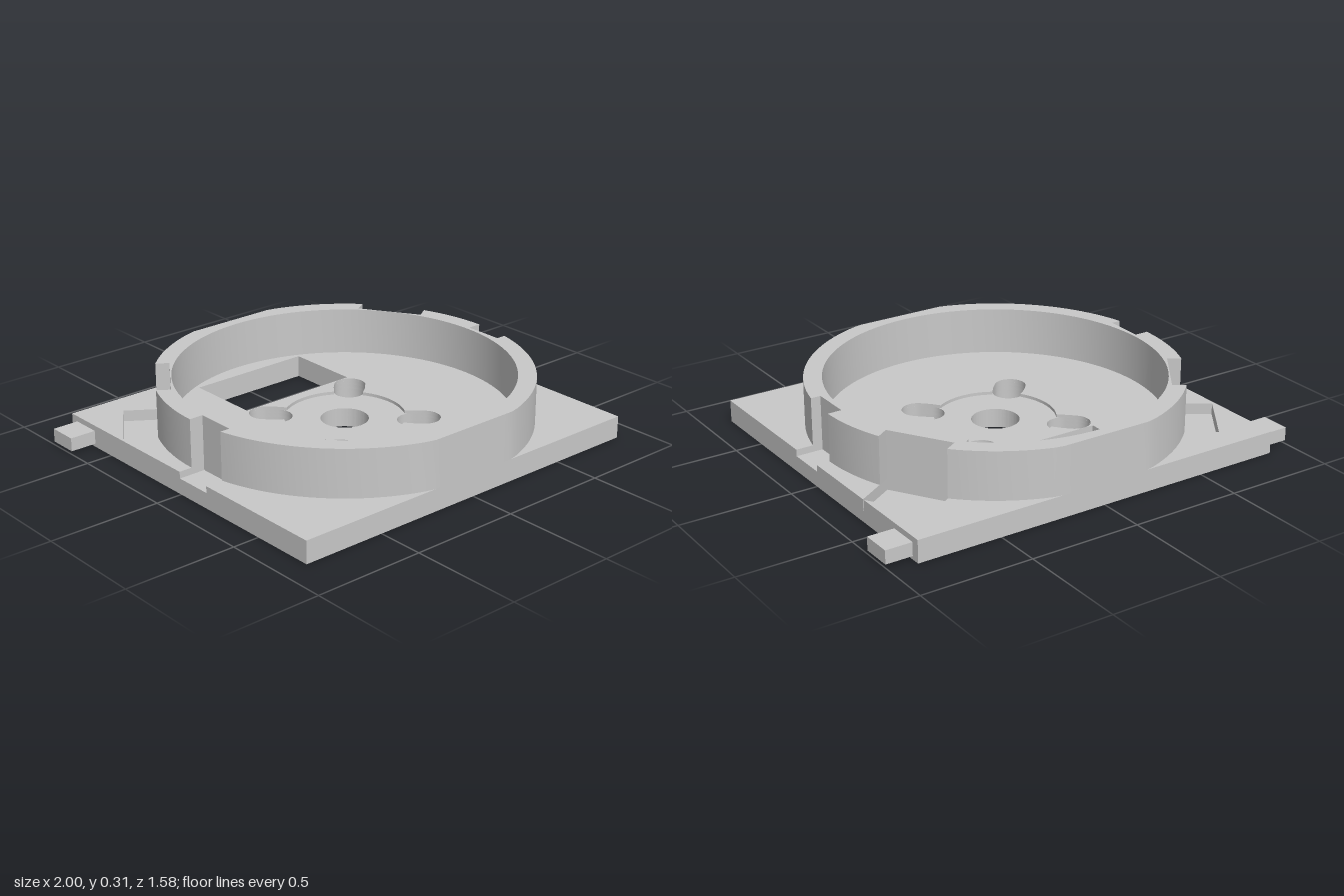
import * as THREE from 'three';
import { toCreasedNormals } from 'three/addons/utils/BufferGeometryUtils.js';

const HALF_X = 0.88, HALF_Z = 0.79;
const RING_OUT = 0.82, RING_IN = 0.74, NOTCH_X = 0.757;
const SLOT_R = 0.07, SLOT_NEAR = 0.297, SLOT_FAR = 0.346;

// angled pockets at the back, as [x, z] from the front side round to the back
const RIGHT_POCKET = [[0.88, -0.381], [0.706, -0.273], [0.545, -0.526], [0.72, -0.636], [0.88, -0.387]];
const LEFT_POCKET = [[-0.695, -0.668], [-0.524, -0.551], [-0.695, -0.305], [-0.866, -0.42]];

// ground points to shape points, wound clockwise or counter-clockwise
function toVectors(pts, clockwise) {
  const v = pts.map(([x, z]) => new THREE.Vector2(x, -z));
  return THREE.ShapeUtils.isClockWise(v) === clockwise ? v : v.reverse();
}

// arc in the ground plane, angles in degrees, z kept within the plate
function arc(r, from, to, cx = 0, cz = 0, steps = Math.ceil(Math.abs(to - from) / 3)) {
  const pts = [];
  for (let i = 0; i <= steps; i++) {
    const a = THREE.MathUtils.degToRad(from + ((to - from) * i) / steps);
    const z = cz + r * Math.sin(a);
    pts.push([cx + r * Math.cos(a), THREE.MathUtils.clamp(z, -HALF_Z, HALF_Z)]);
  }
  return pts;
}

const circle = (r) => arc(r, 0, 360, 0, 0, 128).slice(0, -1);

// rounded slot lying on a diagonal
function slot(angle) {
  const a = THREE.MathUtils.degToRad(angle), c = Math.cos(a), s = Math.sin(a);
  return [
    ...arc(SLOT_R, angle - 90, angle + 90, SLOT_FAR * c, SLOT_FAR * s, 18),
    ...arc(SLOT_R, angle + 90, angle + 270, SLOT_NEAR * c, SLOT_NEAR * s, 18),
  ];
}

// round centre recess merged with the four slots
function recessOutline() {
  const pts = [], n = 360;
  for (let i = 0; i < n; i++) {
    const a = (i / n) * Math.PI * 2;
    let r = 0.265;
    for (let k = 0; k < 4; k++) {
      const off = a - Math.PI / 4 - (k * Math.PI) / 2;
      if (Math.cos(off) < 0) continue;
      for (let j = 0; j <= 6; j++) {
        const d = SLOT_NEAR + ((SLOT_FAR - SLOT_NEAR) * j) / 6;
        const h = SLOT_R ** 2 - (d * Math.sin(off)) ** 2;
        if (h > 0) r = Math.max(r, d * Math.cos(off) + Math.sqrt(h));
      }
    }
    pts.push([r * Math.cos(a), r * Math.sin(a)]);
  }
  return pts;
}

// plate outline, with optional side notches and the right pocket cut in
function plateOutline(pocket, notches) {
  const notch = (s) => [[s * HALF_X, 0.172], [s * NOTCH_X, 0.172], [s * NOTCH_X, -0.005], [s * HALF_X, -0.005]];
  return [
    [-HALF_X, HALF_Z], [HALF_X, HALF_Z],
    ...(notches ? notch(1) : []),
    ...(pocket ? RIGHT_POCKET : []),
    [HALF_X, -HALF_Z], [-HALF_X, -HALF_Z],
    ...(notches ? notch(-1).reverse() : []),
  ];
}

export function createModel() {
  const group = new THREE.Group();
  const grey = new THREE.MeshStandardMaterial({ color: 0xc8c8c8 });
  grey.name = 'grey';

  function slab(name, outline, holes, y0, y1) {
    const shape = new THREE.Shape(toVectors(outline, false));
    shape.holes = holes.map((h) => new THREE.Path(toVectors(h, true)));
    let geo = new THREE.ExtrudeGeometry(shape, { depth: y1 - y0, bevelEnabled: false });
    geo.rotateX(-Math.PI / 2);
    geo = toCreasedNormals(geo, 0.4);
    const mesh = new THREE.Mesh(geo, grey);
    mesh.name = name;
    mesh.position.y = y0;
    group.add(mesh);
  }

  // base plate in layers, following the depth of each cut
  const windowHole = [[-0.29, -0.661], [0.29, -0.661], [0.29, -0.316], [-0.29, -0.316]];
  const through = [windowHole, circle(0.105), ...[45, 135, 225, 315].map(slot)];
  slab('basePlateBottom', plateOutline(false, false), through, 0, 0.05);
  slab('basePlatePocketLayer', plateOutline(true, false), [...through, LEFT_POCKET], 0.05, 0.07);
  slab('basePlateNotchLayer', plateOutline(true, true), [...through, LEFT_POCKET], 0.07, 0.086);
  slab('basePlateTop', plateOutline(true, true), [windowHole, recessOutline(), LEFT_POCKET], 0.086, 0.1);

  // raised ring, thinned at the side notches and the two angled pockets
  const ringOutline = [
    ...arc(RING_OUT, 12.1, 167.9),
    [-NOTCH_X, 0.172], [-NOTCH_X, -0.005],
    ...arc(RING_OUT, 180.35, 204.5),
    LEFT_POCKET[2], LEFT_POCKET[1],
    ...arc(RING_OUT, 225.5, 317),
    RIGHT_POCKET[2], RIGHT_POCKET[1],
    ...arc(RING_OUT, 337.9, 359.65),
    [NOTCH_X, -0.005], [NOTCH_X, 0.172],
  ];
  slab('ringWall', ringOutline, [circle(RING_IN)], 0.1, 0.314);

  // side tabs near the back
  for (const s of [-1, 1]) {
    const tab = new THREE.Mesh(new THREE.BoxGeometry(0.12, 0.06, 0.134), grey);
    tab.name = s > 0 ? 'leftTab' : 'rightTab';
    tab.position.set(s * 0.94, 0.045, -0.685);
    group.add(tab);
  }
  return group;
}
